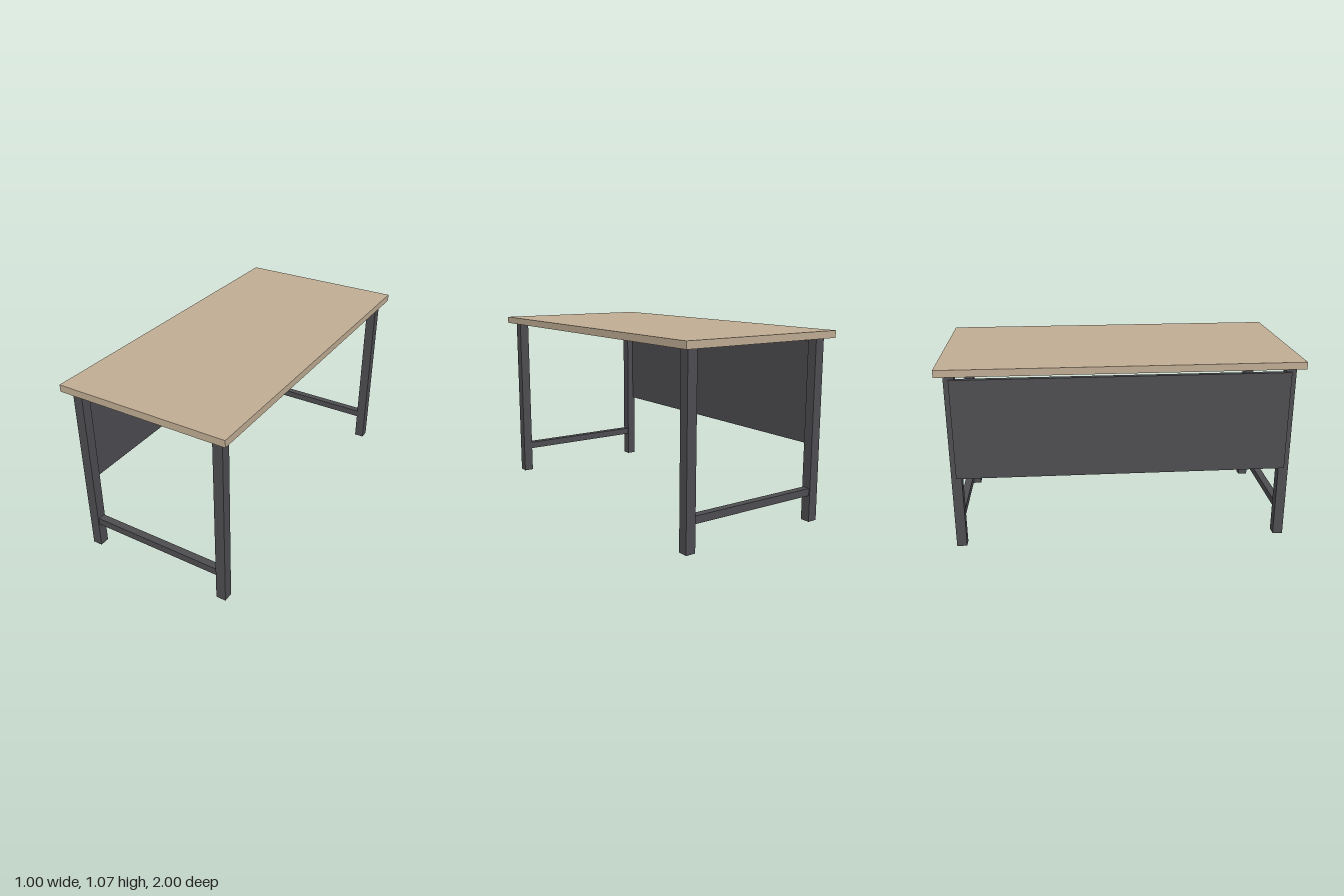
import * as THREE from 'three';

export function createModel() {
  const model = new THREE.Group();
  model.name = 'desk';

  const wood = new THREE.MeshStandardMaterial({ color: 0xbfac93 });
  wood.name = 'light wood';
  const metal = new THREE.MeshStandardMaterial({ color: 0x4d4c50 });
  metal.name = 'dark metal';

  // Box given by its size and centre
  function addBox(name, material, [w, h, d], [x, y, z]) {
    const mesh = new THREE.Mesh(new THREE.BoxGeometry(w, h, d), material);
    mesh.name = name;
    mesh.position.set(x, y, z);
    model.add(mesh);
  }

  const legX = 0.4286, legZ = 0.9286, legSize = 0.0571, legHeight = 1.025;
  const topThickness = 0.04;

  // Table top
  addBox('tableTop', wood, [1, topThickness, 2], [0, legHeight + topThickness / 2, 0]);

  // Square legs, and a low crossbar joining the pair at each end
  for (const [end, sz] of [['front', 1], ['back', -1]]) {
    for (const [side, sx] of [['Left', 1], ['Right', -1]]) {
      addBox(`${end}${side}Leg`, metal, [legSize, legHeight, legSize],
        [sx * legX, legHeight / 2, sz * legZ]);
    }
    addBox(`${end}Crossbar`, metal, [2 * legX - legSize, 0.042, 0.043],
      [0, 0.1715, sz * legZ]);
  }

  // Modesty panel, half sunk into the outer faces of the right legs
  addBox('modestyPanel', metal, [0.0286, 0.57, 2 * legZ],
    [-(legX + legSize / 2), 0.715, 0]);

  return model;
}
